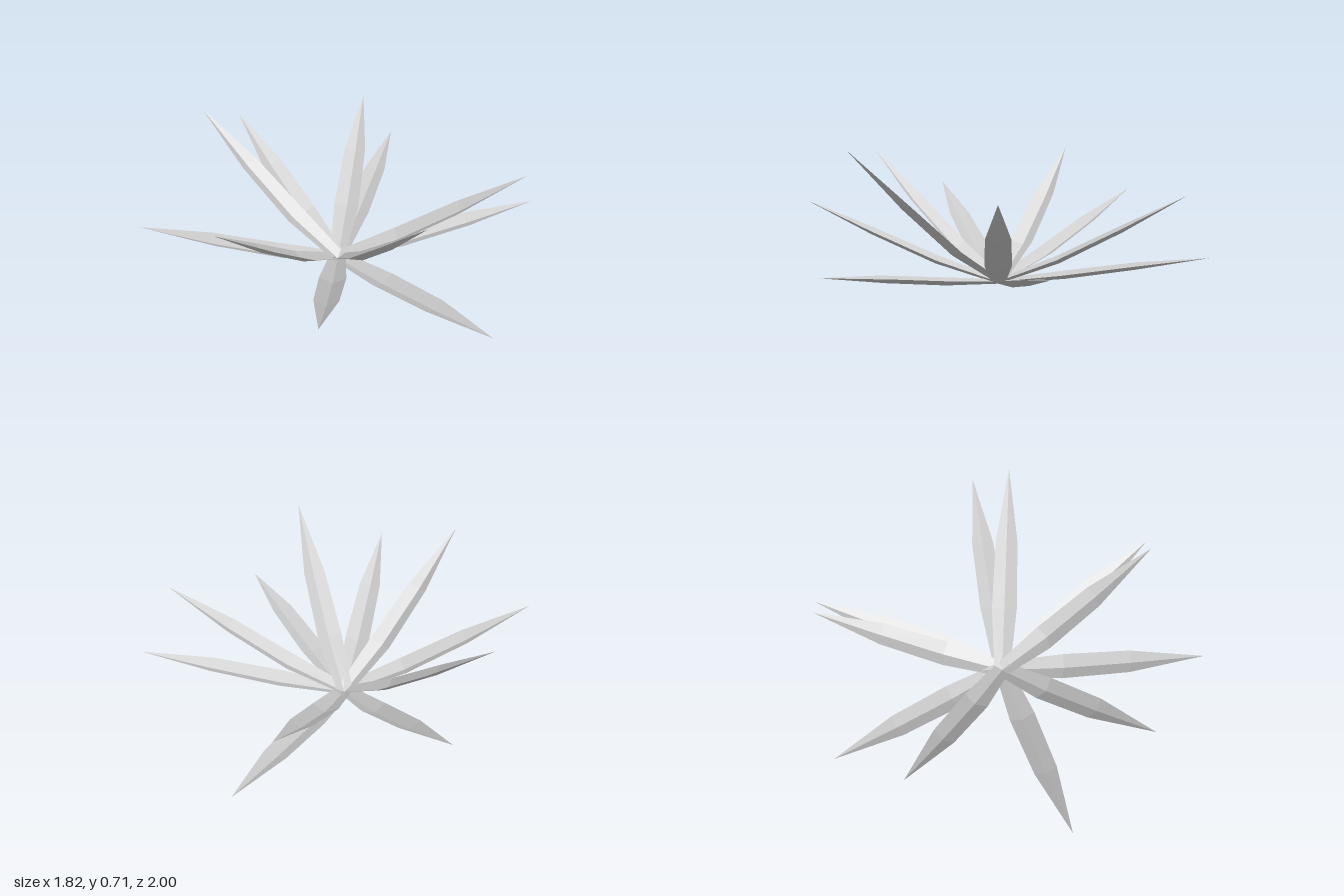
import * as THREE from 'three';

const BASE = new THREE.Vector3(-0.07, 0, 0.03);

// Tip position of every leaf, going round the rosette
const TIPS = [
  [0.09, 0.19, -1], [-0.07, 0.47, -0.91], [-0.75, 0.43, -0.65], [-0.83, 0.66, -0.28],
  [-0.91, 0.44, 0.48], [-0.45, 0.66, 0.77], [0.02, 0.43, 1], [0.41, 0.71, 0.66],
  [0.72, 0.19, 0.7], [0.84, 0.53, -0.08], [0.91, 0.25, -0.29],
];

// Stations along a leaf: fraction of reach, half width, depth of the V fold
const STATIONS = [[0, 0.041, 0.018], [1 / 3, 0.066, 0.03], [2 / 3, 0.057, 0.026], [1, 0, 0]];

// A folded blade: left edge, keel and right edge at each station, curving upward
function leafGeometry(tip) {
  const reach = new THREE.Vector3().subVectors(tip, BASE);
  const side = new THREE.Vector3(reach.z, 0, -reach.x).normalize();
  const normal = new THREE.Vector3().crossVectors(reach, side).normalize();
  const positions = [];
  const index = [];
  STATIONS.forEach(([t, half, depth], row) => {
    const keel = BASE.clone().addScaledVector(reach, t);
    keel.y = reach.y * Math.pow(t, 1.28);
    for (const s of [-1, 0, 1]) {
      const p = keel.clone().addScaledVector(side, s * half);
      if (s !== 0) p.addScaledVector(normal, depth);
      positions.push(p.x, p.y, p.z);
    }
    if (row === STATIONS.length - 1) return;
    for (let c = 0; c < 2; c++) {
      const a = row * 3 + c;
      index.push(a, a + 4, a + 1);
      // the last row closes to a point, so it needs one triangle per half
      if (row < STATIONS.length - 2) index.push(a, a + 3, a + 4);
    }
  });
  const geometry = new THREE.BufferGeometry();
  geometry.setAttribute('position', new THREE.Float32BufferAttribute(positions, 3));
  geometry.setIndex(index);
  geometry.computeVertexNormals();
  return geometry;
}

export function createModel() {
  const plant = new THREE.Group();
  plant.name = 'plant';
  const material = new THREE.MeshStandardMaterial({
    color: 0xcccccc, flatShading: true, side: THREE.DoubleSide,
  });
  TIPS.forEach((tip, i) => {
    const leaf = new THREE.Mesh(leafGeometry(new THREE.Vector3(...tip)), material);
    leaf.name = `leaf${i + 1}`;
    plant.add(leaf);
  });
  return plant;
}
